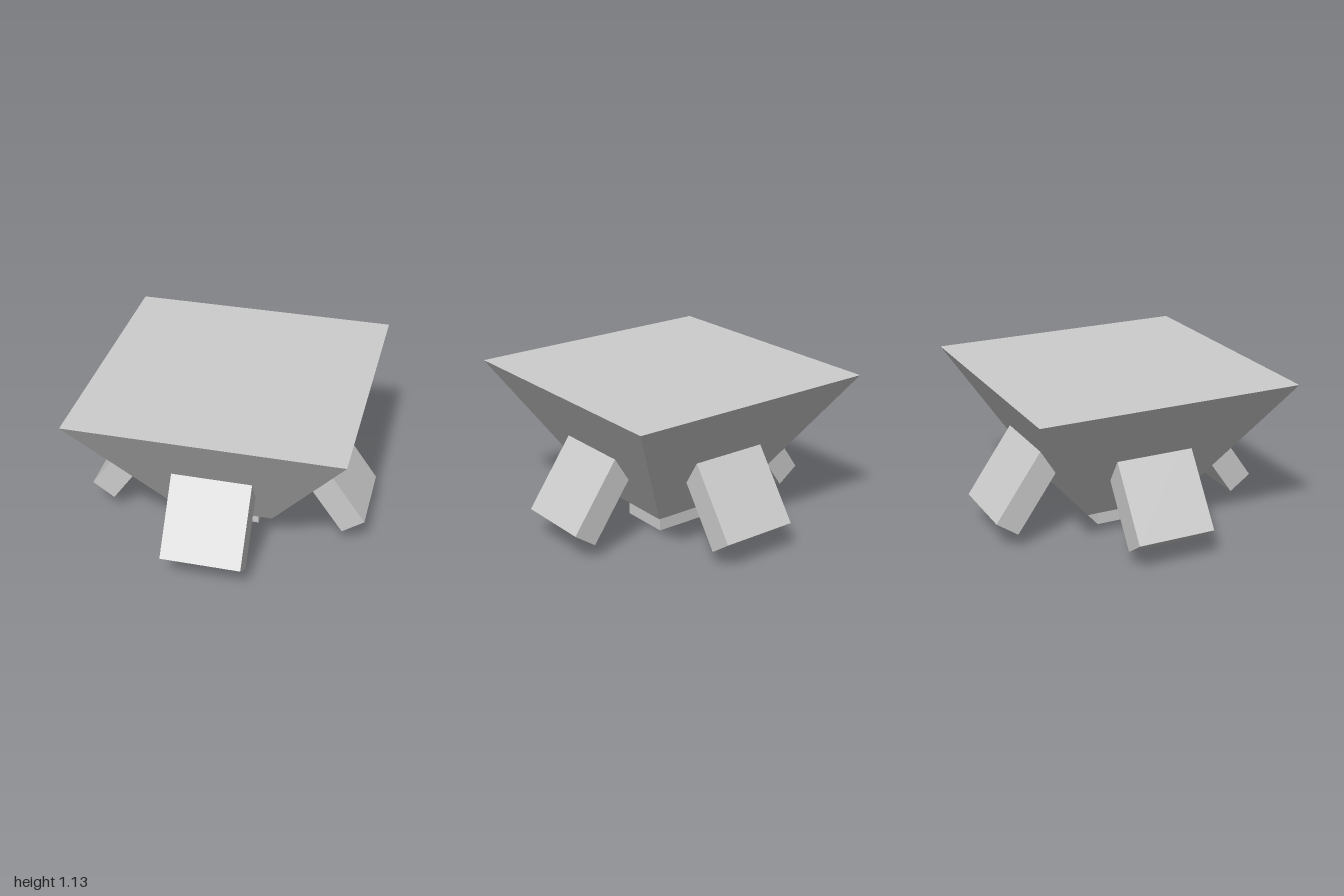
import * as THREE from 'three';

export function createModel() {
  const model = new THREE.Group();
  const grey = new THREE.MeshStandardMaterial({ color: 0xcccccc });
  grey.name = 'plain grey';
  grey.flatShading = true;

  const add = (name, geometry, parent = model) => {
    const mesh = new THREE.Mesh(geometry, grey);
    mesh.name = name;
    parent.add(mesh);
    return mesh;
  };

  // Square body, wide at the top and narrow at the bottom
  const bodyShape = new THREE.CylinderGeometry(0.94 * Math.SQRT2, 0.355 * Math.SQRT2, 0.94, 4);
  bodyShape.rotateY(Math.PI / 4);
  add('body', bodyShape).position.y = 0.66;

  // Small foot under the body, slightly off centre
  add('foot', new THREE.BoxGeometry(0.375, 0.24, 0.37)).position.set(0.0325, 0.12, 0);

  // Four sloping legs, each running from its outer tip up into the body
  const length = 0.7, thickness = 0.19, slope = 0.612;
  const legShape = new THREE.BoxGeometry(0.56, length, thickness);
  legShape.translate(0, length / 2, 0);
  legShape.rotateX(-slope);
  legShape.translate(0, 0.165, 0.922);
  ['frontLeg', 'leftLeg', 'backLeg', 'rightLeg'].forEach((name, i) => {
    add(name, legShape).rotation.y = i * Math.PI / 2;
  });

  return model;
}
